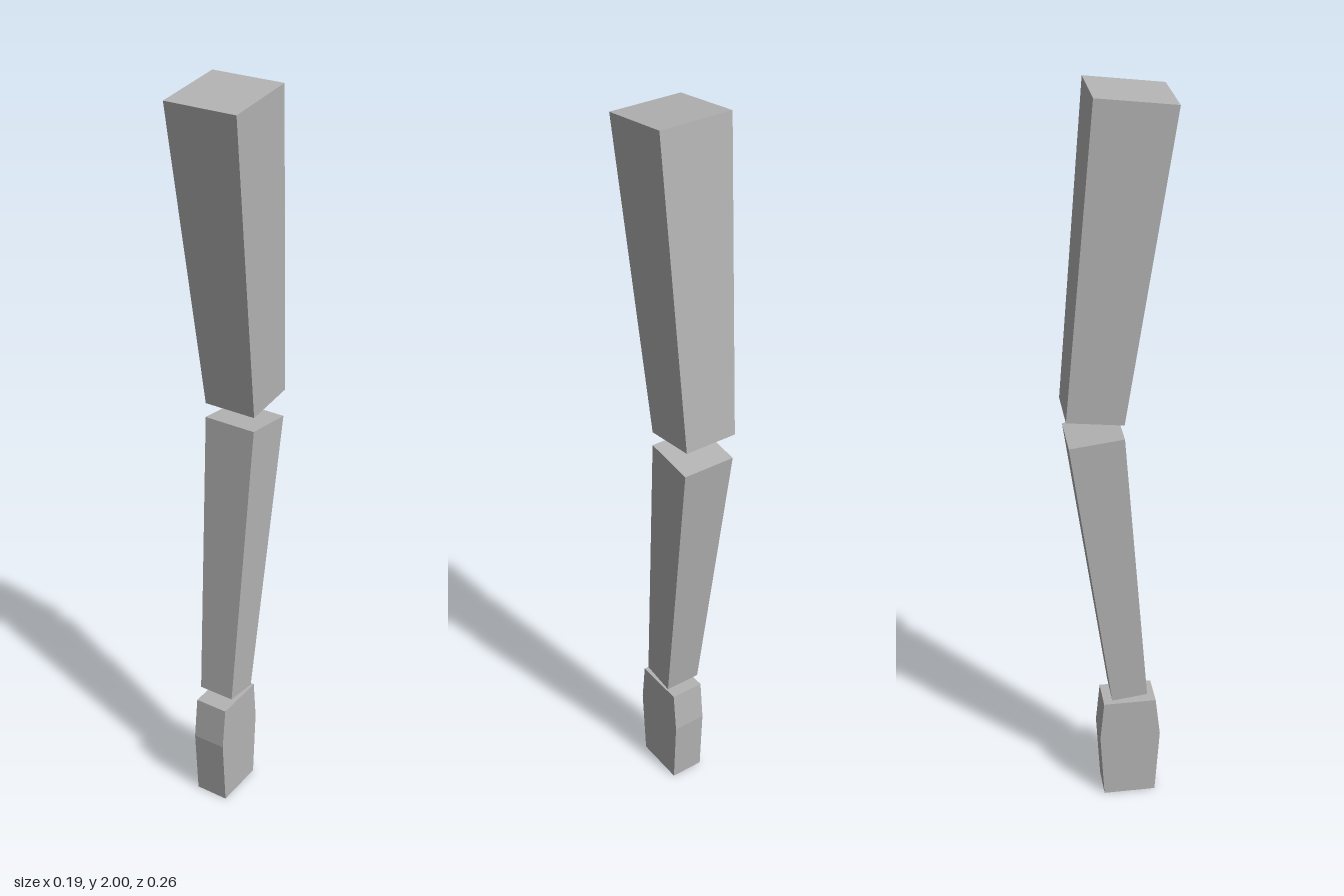
import * as THREE from 'three';

// Each ring is a rectangle: [half width, front y, front z, back y, back z]
function loft(name, rings, material) {
  const loops = rings.map(([w, fy, fz, by, bz]) => [
    [-w, fy, fz], [w, fy, fz], [w, by, bz], [-w, by, bz],
  ]);
  const positions = [];
  const quad = (a, b, c, d) => positions.push(...a, ...b, ...c, ...a, ...c, ...d);
  // Side walls between neighbouring rings
  for (let i = 0; i < loops.length - 1; i++) {
    const low = loops[i], high = loops[i + 1];
    for (let j = 0; j < 4; j++) {
      const k = (j + 1) % 4;
      quad(low[j], low[k], high[k], high[j]);
    }
  }
  // End caps
  const [a, b, c, d] = loops[0];
  quad(d, c, b, a);
  quad(...loops[loops.length - 1]);

  const geometry = new THREE.BufferGeometry();
  geometry.setAttribute('position', new THREE.Float32BufferAttribute(positions, 3));
  geometry.computeVertexNormals();
  const mesh = new THREE.Mesh(geometry, material);
  mesh.name = name;
  return mesh;
}

export function createModel() {
  const model = new THREE.Group();
  model.name = 'arm';
  const grey = new THREE.MeshStandardMaterial({ color: 0xb4b4b4 });
  grey.name = 'grey';

  model.add(
    // Upper segment, tapering down and leaning back
    loft('upperArm', [
      [0.072, 1.18, 0.013, 1.197, -0.132],
      [0.097, 1.977, 0.132, 2.0, -0.063],
    ], grey),
    // Lower segment, tapering down and leaning forward
    loft('forearm', [
      [0.05, 0.338, 0.081, 0.326, -0.015],
      [0.072, 1.141, 0.014, 1.124, -0.126],
    ], grey),
    // Blocky hand, widest at the middle
    loft('hand', [
      [0.046, 0, 0.106, 0, -0.037],
      [0.046, 0.195, 0.119, 0.195, -0.048],
      [0.046, 0.311, 0.106, 0.311, -0.037],
    ], grey),
  );
  return model;
}
